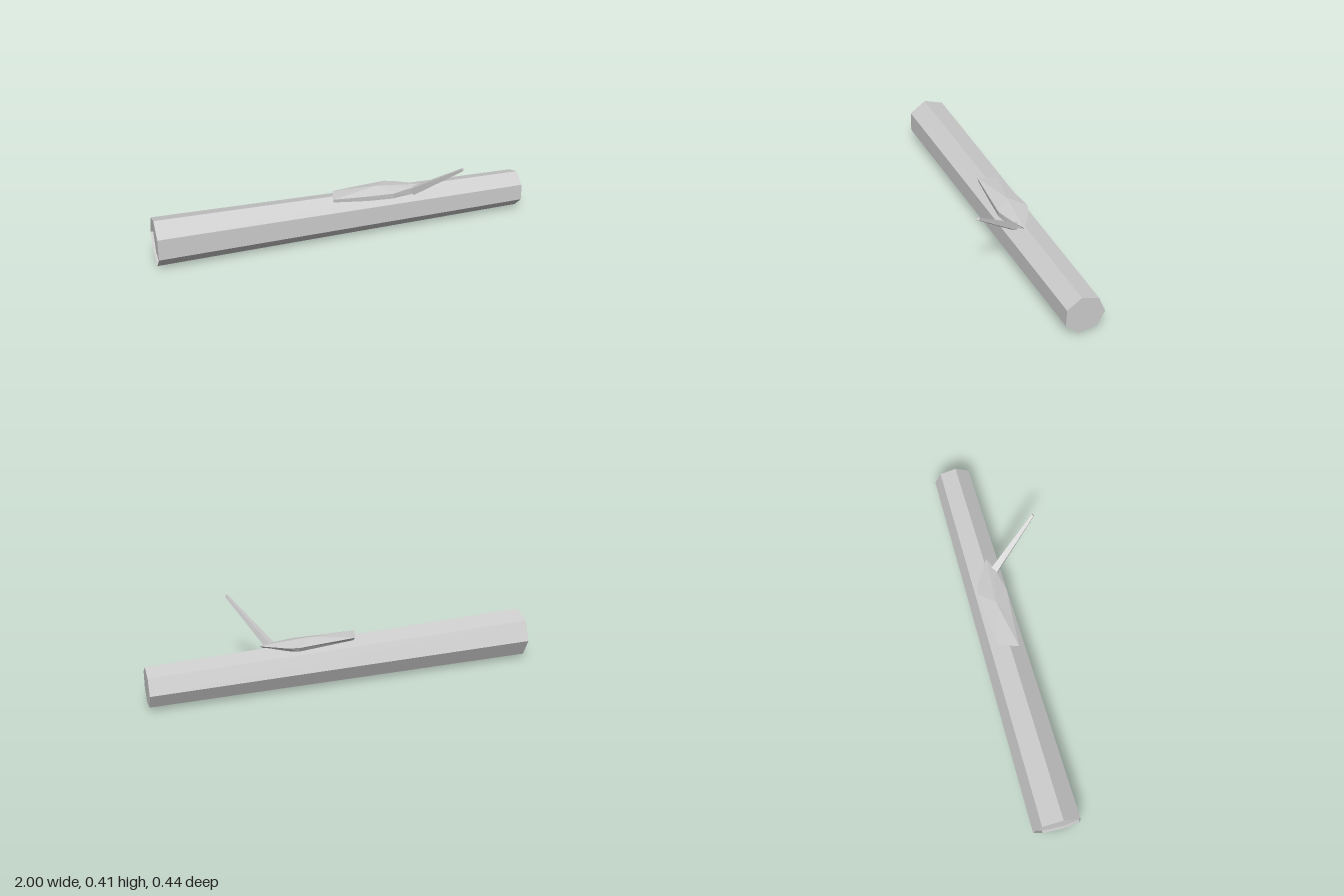
import * as THREE from 'three';

// Triangles of a loft between two rings, each ring clockwise when seen from the far end
function loft(a, b) {
  const tris = [];
  a.forEach((_, i) => {
    const j = (i + 1) % a.length;
    tris.push(a[i], b[i], b[j], a[i], b[j], a[j]);
  });
  return tris;
}

// Fan from a point to a ring; 'far' faces along the loft, otherwise back
function fan(ring, centre, far) {
  return ring.flatMap((p, i) => {
    const q = ring[(i + 1) % ring.length];
    return far ? [centre, q, p] : [centre, p, q];
  });
}

function mesh(name, tris, material) {
  const g = new THREE.BufferGeometry();
  g.setAttribute('position', new THREE.Float32BufferAttribute(tris.flat(), 3));
  g.computeVertexNormals();
  const m = new THREE.Mesh(g, material);
  m.name = name;
  return m;
}

export function createModel() {
  const group = new THREE.Group();
  const grey = new THREE.MeshStandardMaterial({ color: 0xcccccc, flatShading: true, side: THREE.DoubleSide });
  grey.name = 'grey';

  // Seven-sided trunk, tapering and drifting back towards +x
  const section = [
    [0.089, 0.046], [0.019, 0.098], [-0.066, 0.075], [-0.101, -0.005],
    [-0.061, -0.080], [0.027, -0.097], [0.091, -0.040],
  ]; // z, y
  const ring = (x, cy, cz, s) => section.map(([z, y]) => [x, cy + y * s, cz + z * s]);
  const thick = ring(-1, 0.124, -0.051, 1.25);
  const thin = ring(1, 0.107, -0.119, 1);
  group.add(mesh('trunk', loft(thick, thin), grey));
  group.add(mesh('thinEnd', fan(thin, [1, 0.107, -0.119], true), grey));

  // Thick end is slightly recessed
  const recessed = ring(-0.987, 0.124, -0.051, 1.248);
  group.add(mesh('thickEnd', fan(recessed, [-0.987, 0.124, -0.051], false), grey));

  // Faceted leaf-shaped plate lying on the trunk
  const upper = [
    [-0.085, 0.230, -0.016], [-0.055, 0.232, -0.118], [0.245, 0.231, -0.157], [0.30, 0.228, -0.14],
    [0.43, 0.226, -0.065], [0.36, 0.226, -0.036], [0.24, 0.222, -0.003], [0.08, 0.224, -0.010],
  ];
  const lower = [
    [-0.080, 0.213, -0.018], [-0.050, 0.214, -0.105], [0.245, 0.205, -0.142], [0.30, 0.205, -0.12],
    [0.41, 0.215, -0.065], [0.36, 0.190, -0.036], [0.24, 0.194, -0.005], [0.10, 0.197, -0.012],
  ];
  group.add(mesh('leaf', [
    ...loft(lower, upper),
    ...fan(upper, [0.17, 0.248, -0.075], true),
    ...fan(lower, [0.17, 0.200, -0.070], false),
  ], grey));

  // Tapered twig rising forward from the leaf tip
  const base = new THREE.Vector3(0.365, 0.208, -0.035);
  const tip = new THREE.Vector3(0.53, 0.407, 0.212);
  const dir = tip.clone().sub(base);
  const twig = new THREE.Mesh(new THREE.CylinderGeometry(0.009, 0.026, dir.length(), 4), grey);
  twig.name = 'twig';
  twig.position.copy(base).add(tip).multiplyScalar(0.5);
  twig.quaternion.setFromUnitVectors(new THREE.Vector3(0, 1, 0), dir.normalize());
  group.add(twig);

  return group;
}
